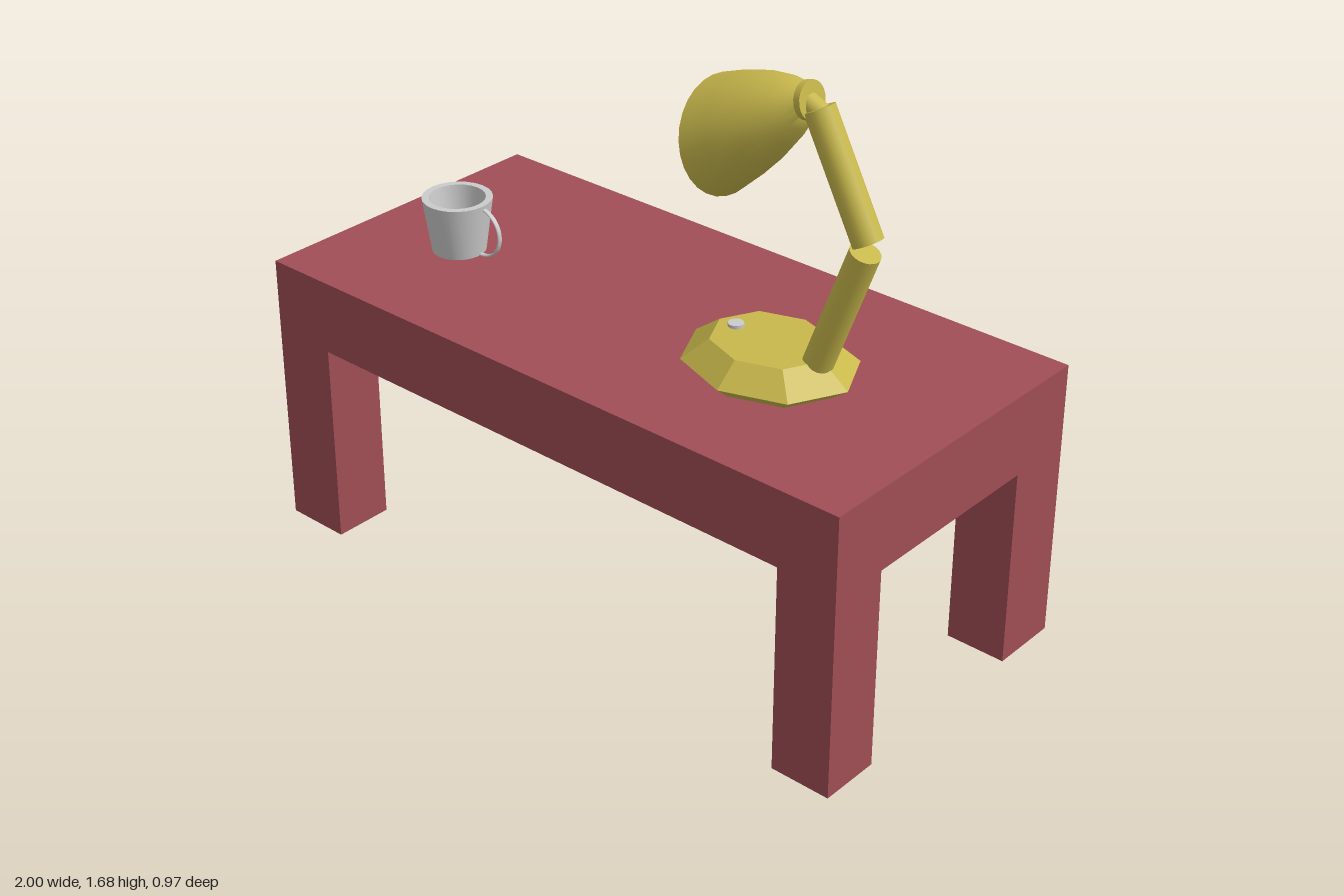
import * as THREE from 'three';
import { toCreasedNormals } from 'three/addons/utils/BufferGeometryUtils.js';

const red = new THREE.MeshStandardMaterial({ color: 0xa04e56 });
const yellow = new THREE.MeshStandardMaterial({ color: 0xc8b84c });
const yellowFlat = new THREE.MeshStandardMaterial({ color: 0xc8b84c, flatShading: true });
const grey = new THREE.MeshStandardMaterial({ color: 0xcccccc });

function add(parent, name, geometry, material, x = 0, y = 0, z = 0) {
  const mesh = new THREE.Mesh(geometry, material);
  mesh.name = name;
  mesh.position.set(x, y, z);
  parent.add(mesh);
  return mesh;
}

function addGroup(parent, name) {
  const group = new THREE.Group();
  group.name = name;
  parent.add(group);
  return group;
}

// Turned solid from [radius, height] pairs, listed upwards along the outside
function turned(points, sides) {
  return new THREE.LatheGeometry(points.map(([r, y]) => new THREE.Vector2(r, y)), sides);
}

// Straight rod between two points in the plane z
function addRod(parent, name, [x1, y1], [x2, y2], z, radius) {
  const length = Math.hypot(x2 - x1, y2 - y1);
  const rod = add(parent, name, new THREE.CylinderGeometry(radius, radius, length, 20), yellow,
    (x1 + x2) / 2, (y1 + y2) / 2, z);
  rod.rotation.z = Math.atan2(x1 - x2, y2 - y1);
}

function buildTable(parent) {
  const table = addGroup(parent, 'table');
  add(table, 'tableTop', new THREE.BoxGeometry(2, 0.22, 0.97), red, 0, 0.72, 0);

  // Each end is one arch: two legs joined by a shallow rail
  const arch = new THREE.Shape([
    [-0.485, 0], [-0.305, 0], [-0.305, 0.59], [0.28, 0.59],
    [0.28, 0], [0.485, 0], [0.485, 0.61], [-0.485, 0.61],
  ].map(([x, y]) => new THREE.Vector2(x, y)));
  for (const [name, start, width] of [['rightLegs', -1, 0.2], ['leftLegs', 0.82, 0.18]]) {
    const geometry = new THREE.ExtrudeGeometry(arch, { depth: width, bevelEnabled: false });
    geometry.rotateY(Math.PI / 2);
    add(table, name, geometry, red, start, 0, 0);
  }
}

function buildLamp(parent) {
  const lamp = addGroup(parent, 'lamp');
  const z = 0.085;

  // Eight-sided base with a small button
  const base = turned([[0, 0], [0.205, 0], [0.25, 0.033], [0.17, 0.092], [0, 0.092]], 8);
  base.scale(1, 1, 0.84);
  add(lamp, 'lampBase', base, yellowFlat, 0.465, 0.853, z);
  add(lamp, 'lampButton', new THREE.CylinderGeometry(0.022, 0.022, 0.012, 12), grey, 0.35, 0.948, z);

  // Arms and the collar behind the shade
  addRod(lamp, 'lowerArm', [0.615, 0.925], [0.75, 1.287], z, 0.041);
  addRod(lamp, 'upperArm', [0.757, 1.315], [0.596, 1.622], z, 0.041);
  addRod(lamp, 'shadeCollar', [0.556, 1.632], [0.574, 1.636], z, 0.05);
  addRod(lamp, 'shadeNeck', [0.56, 1.628], [0.61, 1.605], z, 0.028);

  // Hollow bell-shaped shade, leaning upwards as it narrows
  const shade = turned([
    [0, 0.27], [0.035, 0.265], [0.066, 0.21], [0.098, 0.14], [0.12, 0.07], [0.136, 0],
    [0.154, 0], [0.138, 0.075], [0.116, 0.15], [0.084, 0.225], [0.06, 0.265], [0.042, 0.29], [0, 0.295],
  ], 28);
  const across = new THREE.Vector3(-0.26, 0.965, 0);
  const along = new THREE.Vector3(0.965, 0.26, 0).addScaledVector(across, 0.3);
  shade.applyMatrix4(new THREE.Matrix4().makeBasis(across, along, new THREE.Vector3(0, 0, -1.09)));
  add(lamp, 'lampShade', toCreasedNormals(shade, 0.7), yellow, 0.302, 1.468, z);
}

function buildMug(parent) {
  const mug = addGroup(parent, 'mug');
  mug.position.set(-0.637, 0.853, 0.117);

  // Hollow tapered cup
  const cup = turned([
    [0, 0.02], [0.06, 0.02], [0.08, 0.16], [0.1, 0.16], [0.077, 0], [0, 0],
  ].reverse(), 24);
  add(mug, 'cup', toCreasedNormals(cup, 0.7), grey);

  // Thin half-ring handle
  const handle = new THREE.TorusGeometry(0.072, 0.004, 8, 24, Math.PI * 1.1);
  handle.rotateZ(-Math.PI * 0.55);
  handle.scale(1, 1, 2);
  add(mug, 'mugHandle', handle, grey, 0.081, 0.075, -0.01);
}

export function createModel() {
  const model = new THREE.Group();
  model.name = 'deskWithLampAndMug';
  buildTable(model);
  buildLamp(model);
  buildMug(model);
  return model;
}
